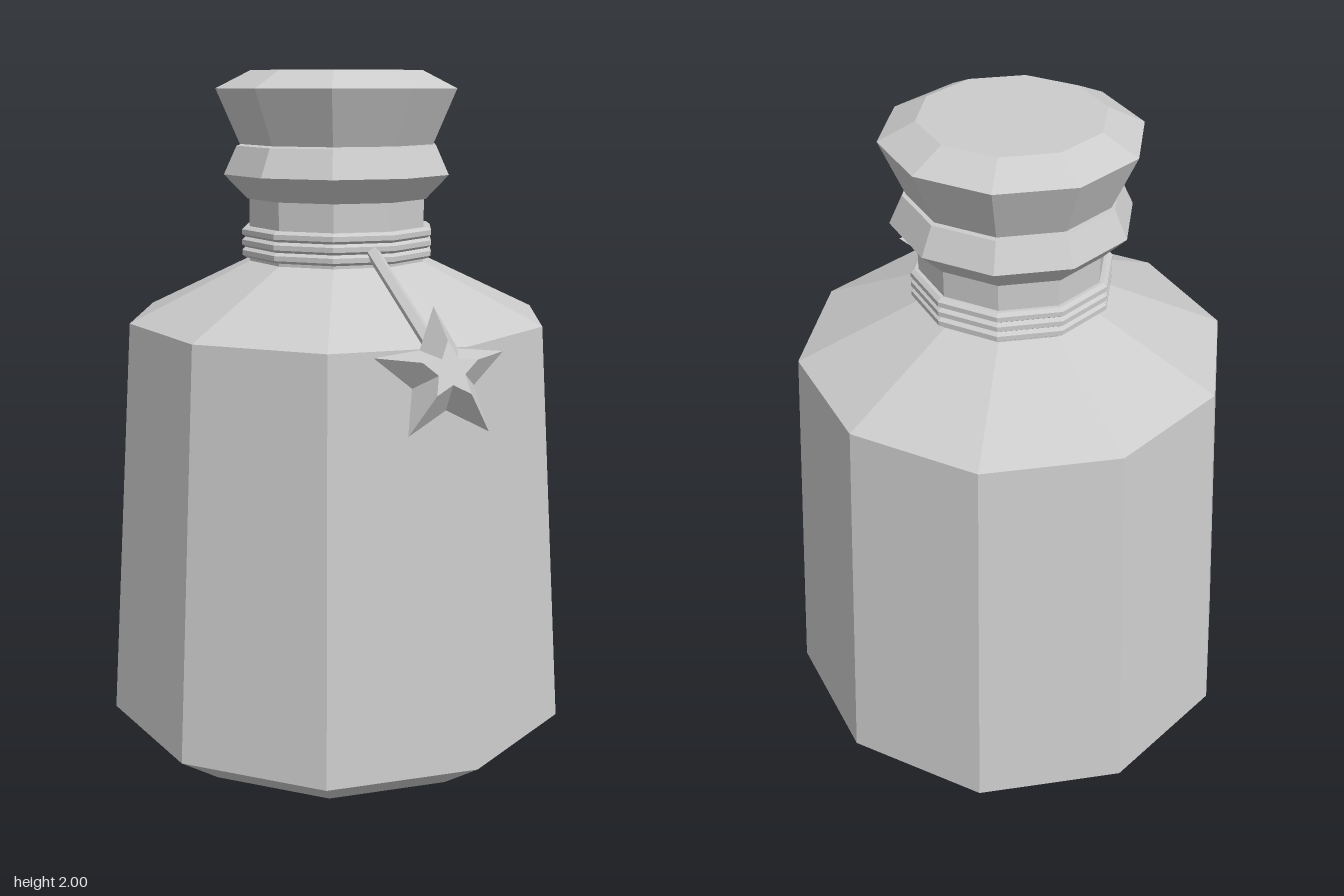
import * as THREE from 'three';

const SIDES = 10;
const PHASE = THREE.MathUtils.degToRad(20.8);

const material = new THREE.MeshStandardMaterial({ color: 0xcccccc, flatShading: true });

function part(name, geometry) {
  const mesh = new THREE.Mesh(geometry, material);
  mesh.name = name;
  return mesh;
}

// Ten-sided turned part from [radius, height] pairs, bottom to top
function turned(name, profile) {
  const points = profile.map(([r, y]) => new THREE.Vector2(r, y));
  return part(name, new THREE.LatheGeometry(points, SIDES, PHASE));
}

// Five-pointed star facing +z: small flat star on each face, full outline at mid depth
function starGeometry(outer, inner, faceScale, halfDepth) {
  const n = 10;
  const positions = [];
  const index = [];
  for (const [scale, z] of [[faceScale, -halfDepth], [1, 0], [faceScale, halfDepth]]) {
    for (let i = 0; i < n; i++) {
      const r = (i % 2 ? inner : outer) * scale;
      const a = Math.PI / 2 + (i * Math.PI * 2) / n;
      positions.push(r * Math.cos(a), r * Math.sin(a), z);
    }
  }
  positions.push(0, 0, -halfDepth, 0, 0, halfDepth);
  for (let i = 0; i < n; i++) {
    const j = (i + 1) % n;
    for (const k of [0, n]) {
      index.push(k + i, k + j, k + n + j, k + i, k + n + j, k + n + i);
    }
    index.push(3 * n, j, i);
    index.push(3 * n + 1, 2 * n + i, 2 * n + j);
  }
  const geometry = new THREE.BufferGeometry();
  geometry.setAttribute('position', new THREE.Float32BufferAttribute(positions, 3));
  geometry.setIndex(index);
  geometry.computeVertexNormals();
  return geometry;
}

export function createModel() {
  const model = new THREE.Group();
  model.name = 'bottle';

  // Bottle body with chamfered base, sloped shoulder and neck
  model.add(turned('body', [
    [0, 0], [0.56, 0], [0.705, 0.105], [0.622, 1.29], [0.265, 1.46], [0.265, 1.65], [0, 1.65],
  ]));

  // Flared lip around the mouth
  model.add(turned('lip', [
    [0, 1.64], [0.27, 1.64], [0.338, 1.71], [0.3, 1.79], [0, 1.79],
  ]));

  // Stopper
  model.add(turned('stopper', [
    [0, 1.785], [0.29, 1.795], [0.358, 1.95], [0.256, 2], [0, 2],
  ]));

  // Cord wound three times around the neck
  const coils = new THREE.Group();
  coils.name = 'neckCord';
  for (let i = 0; i < 3; i++) {
    const y = 1.485 + i * 0.03;
    coils.add(turned('cordLoop', [
      [0.255, y - 0.015], [0.276, y - 0.015], [0.288, y - 0.007], [0.288, y + 0.007],
      [0.276, y + 0.015], [0.255, y + 0.015], [0.255, y - 0.015],
    ]));
  }
  model.add(coils);

  // Hanging end of the cord
  const cordPath = new THREE.LineCurve3(
    new THREE.Vector3(0.18, 1.51, 0.18), new THREE.Vector3(0.46, 1.3, 0.45));
  model.add(part('hangingCord', new THREE.TubeGeometry(cordPath, 1, 0.02, 5)));

  // Star charm resting on the shoulder edge, tilted upward
  const star = part('starCharm', starGeometry(0.185, 0.088, 0.42, 0.075));
  star.position.set(0.495, 1.235, 0.478);
  star.rotation.set(
    THREE.MathUtils.degToRad(-23), THREE.MathUtils.degToRad(39), 0, 'YXZ');
  model.add(star);

  return model;
}
